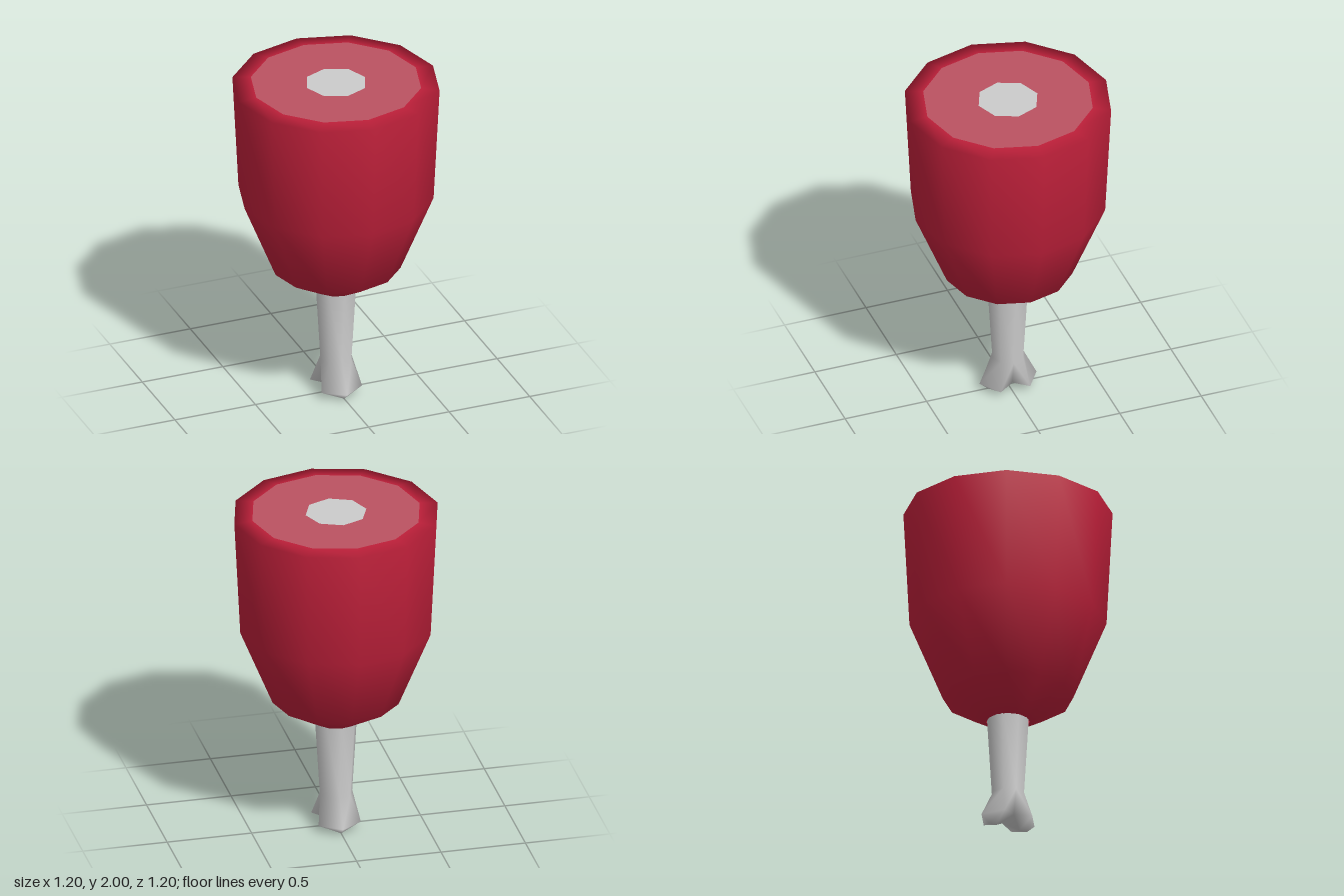
import * as THREE from 'three';

const material = (color) => new THREE.MeshStandardMaterial({ color });

function polygon(PathType, radius, sides) {
  const points = [];
  for (let i = 0; i < sides; i++) {
    const a = (i / sides) * Math.PI * 2;
    points.push(new THREE.Vector2(Math.cos(a) * radius, Math.sin(a) * radius));
  }
  return new PathType(points);
}

// Eight-sided shaft that splits into two knuckle lobes at its lower end
function boneGeometry() {
  const pos = [];
  const index = [];
  for (const [r, y] of [[0.128, 0.74], [0.096, 0.21]]) {
    for (let i = 0; i < 8; i++) {
      const a = (i * Math.PI) / 4;
      pos.push(Math.cos(a) * r, y, Math.sin(a) * r);
    }
  }
  for (let i = 0; i < 8; i++) {
    const j = (i + 1) % 8;
    index.push(i, j, 8 + i, j, 8 + j, 8 + i);
  }
  // Each lobe is the other one turned half way round; they share the valley points
  const lobe = [
    [0.07, 0.055, 0],      // valley
    [0.125, 0.045, 0.09],  // side
    [0, 0.045, 0.175],     // tip
    [-0.125, 0.045, 0.09], // side
    [0, 0, 0.125],         // underside ridge
    [0, 0, 0.075],
  ];
  for (const s of [1, -1]) for (const [x, y, z] of lobe) pos.push(x * s, y, z * s);
  for (const k of [0, 1]) {
    const T = (i) => 8 + ((i + 4 * k) % 8);
    const [V, A, B, C, P, Q] = [0, 1, 2, 3, 4, 5].map((i) => 16 + 6 * k + i);
    const W = 16 + 6 * (1 - k);
    index.push(
      T(0), T(1), A, T(0), A, V,
      T(1), T(2), B, T(1), B, A,
      T(2), T(3), C, T(2), C, B,
      T(3), T(4), C, T(4), W, C,
      A, B, P, B, C, P, A, P, Q, C, Q, P, A, Q, V, C, W, Q, V, Q, W
    );
  }
  const geometry = new THREE.BufferGeometry();
  geometry.setAttribute('position', new THREE.Float32BufferAttribute(pos, 3));
  geometry.setIndex(index);
  geometry.computeVertexNormals();
  return geometry;
}

export function createModel() {
  const group = new THREE.Group();
  const add = (name, geometry, color) => {
    const mesh = new THREE.Mesh(geometry, material(color));
    mesh.name = name;
    group.add(mesh);
    return mesh;
  };

  // Outer meat, from the hem round the bone up to the cut rim
  const profile = [
    [0.125, 0.67], [0.375, 0.82], [0.567, 1.29], [0.602, 1.99], [0.495, 2.0],
  ].map(([r, y]) => new THREE.Vector2(r, y));
  const meat = add('meat', new THREE.LatheGeometry(profile, 12), 0xbc1f39);
  meat.material.side = THREE.DoubleSide;

  // Cut face with the bone showing in its middle
  const cut = polygon(THREE.Shape, 0.495, 12);
  cut.holes.push(polygon(THREE.Path, 0.18, 8));
  add('cutFace', new THREE.ShapeGeometry(cut), 0xbb5261);
  add('boneCore', new THREE.CircleGeometry(0.18, 8), 0xcccccc);
  for (const mesh of group.children.slice(1)) {
    mesh.rotation.x = -Math.PI / 2;
    mesh.position.y = 2;
  }

  add('bone', boneGeometry(), 0xcccccc);
  return group;
}
